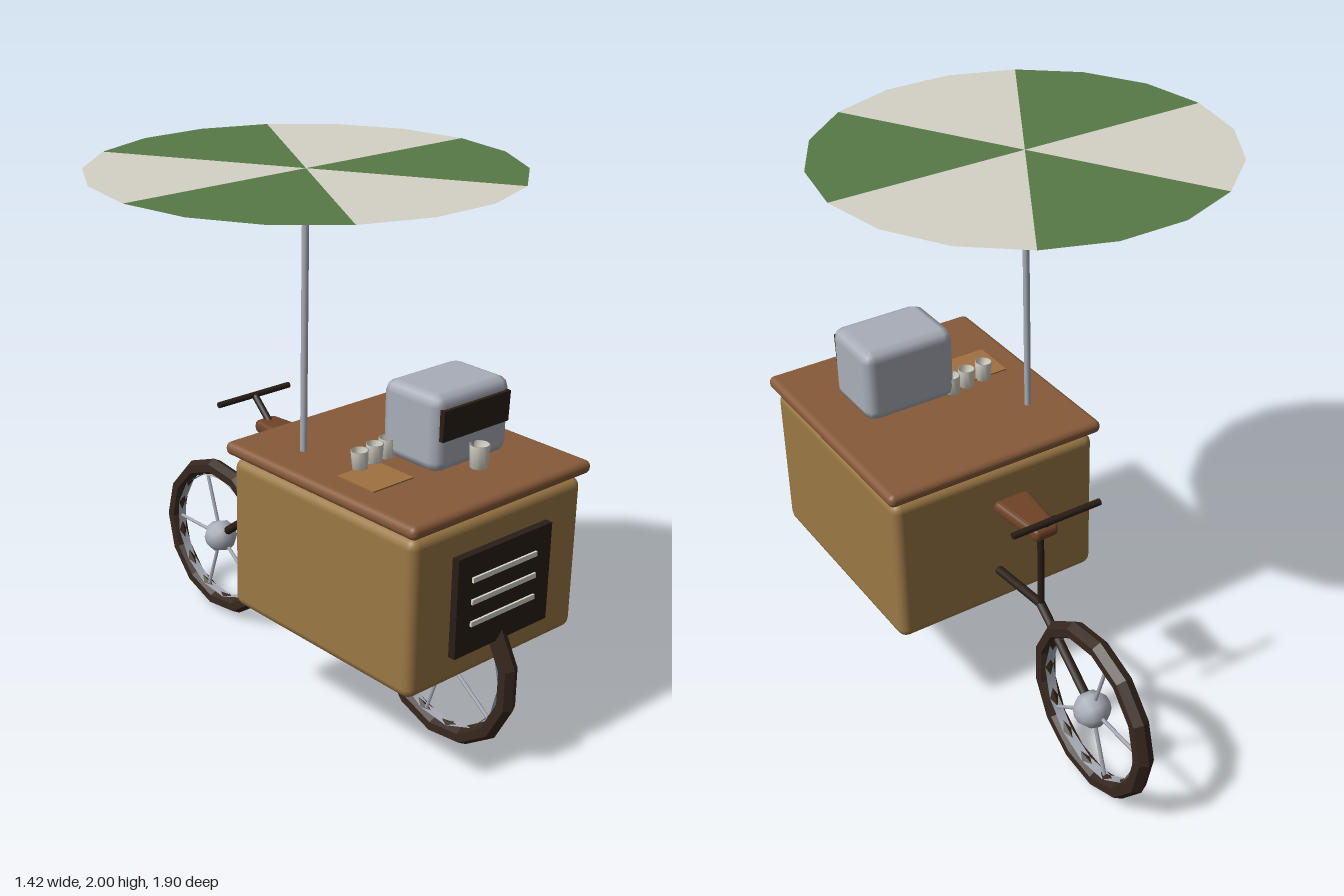
import * as THREE from 'three';
import { RoundedBoxGeometry } from 'three/addons/geometries/RoundedBoxGeometry.js';

const mat = (color, extra = {}) => new THREE.MeshStandardMaterial({ color, ...extra });

export function createModel() {
  const root = new THREE.Group();
  const tan = mat(0x9b7845), wood = mat(0x875a39), leather = mat(0x6e4327);
  const dark = mat(0x2a1e17), rubber = mat(0x36271e, { flatShading: true });
  const steel = mat(0xa9aeb8), thinSteel = mat(0xa9aeb8, { side: THREE.DoubleSide });
  const white = mat(0xd8d4c8), green = mat(0x587a48, { side: THREE.DoubleSide });
  const cream = mat(0xd5d1c6, { side: THREE.DoubleSide });

  const add = (name, geo, material, x = 0, y = 0, z = 0, parent = root) => {
    const m = new THREE.Mesh(geo, material);
    m.name = name;
    m.position.set(x, y, z);
    parent.add(m);
    return m;
  };
  // Box given by its lower and upper corners
  const span = (name, lo, hi, r, material, seg = 2) => {
    const s = hi.map((v, i) => v - lo[i]);
    const geo = r ? new RoundedBoxGeometry(...s, seg, r) : new THREE.BoxGeometry(...s);
    return add(name, geo, material, ...hi.map((v, i) => (v + lo[i]) / 2));
  };
  // Straight round bar between two points
  const bar = (name, a, b, r, material, sides = 8, parent = root) => {
    const p = new THREE.Vector3(...a), d = new THREE.Vector3(...b).sub(p);
    const m = add(name, new THREE.CylinderGeometry(r, r, d.length(), sides), material, 0, 0, 0, parent);
    m.position.copy(p).addScaledVector(d, 0.5);
    m.quaternion.setFromUnitVectors(new THREE.Vector3(0, 1, 0), d.normalize());
    return m;
  };

  // Cart body and counter
  span('cartBody', [-0.135, 0.395, -0.04], [0.67, 0.965, 0.85], 0.035, tan);
  span('counter', [-0.155, 0.978, -0.06], [0.69, 1.026, 0.87], 0.022, wood);

  // Vent panel with slats
  span('ventPanel', [0.045, 0.5, 0.84], [0.49, 0.86, 0.878], 0, dark);
  for (const y of [0.61, 0.69, 0.77])
    span('ventSlat', [0.11, y - 0.009, 0.87], [0.415, y + 0.009, 0.886], 0, white);

  // Coffee machine with dark window
  span('machine', [0.18, 1.025, 0.365], [0.535, 1.3, 0.63], 0.04, steel, 1);
  const windowPane = span('machineWindow', [0.2, 1.145, 0.615], [0.515, 1.255, 0.64], 0, dark);
  windowPane.rotation.x = 0.04;

  // Cups and tray
  const cup = (x, z, r, h, tilt = 0) => {
    const geo = new THREE.LatheGeometry([[0, 0], [r * 0.85, 0], [r, h], [r * 0.88, h], [r * 0.75, h * 0.2], [0, h * 0.2]]
      .map(([a, b]) => new THREE.Vector2(a, b)), 12);
    add('cup', geo, white, x, 1.025, z).rotation.z = tilt;
  };
  cup(0.355, 0.66, 0.036, 0.083);
  [0.04, 0.115, 0.18].forEach((x, i) => cup(x, 0.42 - i * 0.01, 0.031, 0.07, 0.06 - i * 0.05));
  span('tray', [-0.06, 1.02, 0.42], [0.12, 1.031, 0.59], 0, mat(0xa0713f));

  // Parasol: pole and flat six-panel canopy
  bar('parasolPole', [0, 0.965, 0.18], [0, 1.998, 0.18], 0.012, steel);
  for (let i = 0; i < 6; i++) {
    const panel = new THREE.CircleGeometry(0.712, 1, i * Math.PI / 3, Math.PI / 3).rotateX(-Math.PI / 2);
    add('canopyPanel', panel, i % 2 ? green : cream, 0, 2, 0.18);
  }

  // Wheels: tyre, rim, hub and five spokes
  const wheel = (name, z) => {
    const g = new THREE.Group();
    g.name = name;
    g.position.set(0.27, 0.325, z);
    const tyre = new THREE.TorusGeometry(0.293, 0.032, 6, 13).rotateY(Math.PI / 2).scale(1.1, 1, 1);
    add('tyre', tyre, rubber, 0, 0, 0, g);
    const rim = new THREE.CylinderGeometry(0.262, 0.262, 0.035, 13, 1, true).rotateZ(Math.PI / 2);
    add('rim', rim, thinSteel, 0, 0, 0, g);
    add('hub', new THREE.SphereGeometry(0.066, 8, 6).rotateZ(Math.PI / 2), steel, 0, 0, 0, g);
    for (let i = 0; i < 5; i++) {
      const a = i * Math.PI * 0.4;
      bar('spoke', [0, 0, 0], [0, Math.sin(a) * 0.265, -Math.cos(a) * 0.265], 0.007, steel, 6, g);
    }
    root.add(g);
  };
  wheel('frontWheel', 0.63);
  wheel('rearWheel', -0.625);

  // Rear frame
  const X = 0.27;
  bar('frameBeam', [X, 0.535, 0], [X, 0.57, -0.315], 0.016, dark);
  bar('rearFork', [X, 0.57, -0.31], [X, 0.34, -0.61], 0.017, dark);
  bar('seatPost', [X, 0.565, -0.313], [X, 0.89, -0.313], 0.012, dark);

  // Saddle narrowing toward the back
  const saddle = new RoundedBoxGeometry(0.15, 0.05, 0.235, 2, 0.022);
  const pos = saddle.attributes.position;
  for (let i = 0; i < pos.count; i++) pos.setX(i, pos.getX(i) * (0.8 + 1.6 * pos.getZ(i)));
  saddle.computeVertexNormals();
  add('saddle', saddle, leather, X, 0.895, -0.24);

  // Handlebar on its stem
  bar('handlebarStem', [X, 0.9, -0.31], [X, 0.99, -0.405], 0.013, dark);
  bar('handlebar', [0.1, 0.992, -0.41], [0.44, 0.992, -0.41], 0.012, dark);
  return root;
}
